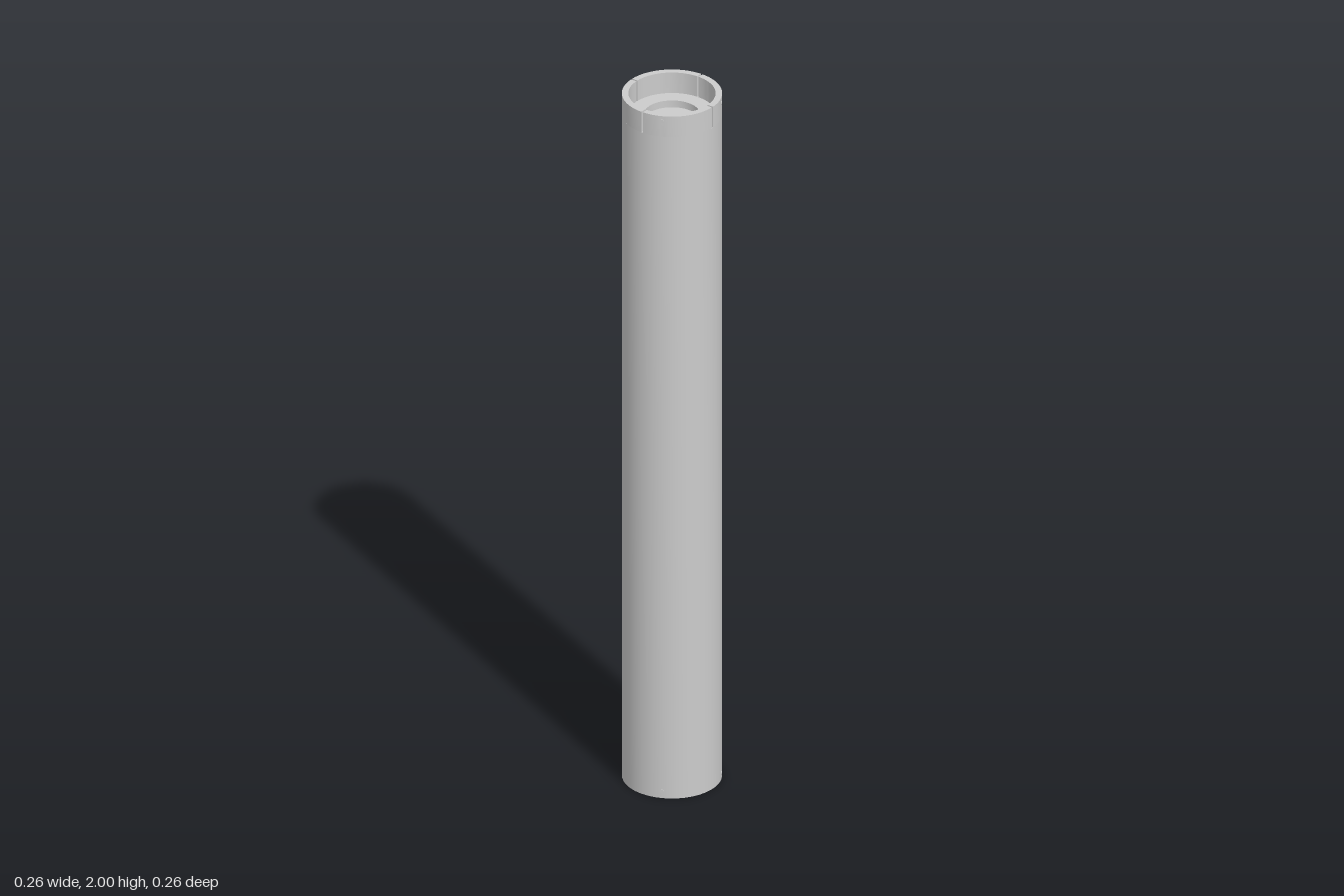
import * as THREE from 'three';
import { toCreasedNormals } from 'three/addons/utils/BufferGeometryUtils.js';

const OUTER = 0.13, INNER = 0.113, RIM_Y = 1.94, HEIGHT = 2;

export function createModel() {
  const model = new THREE.Group();
  const grey = new THREE.MeshStandardMaterial({ color: 0xcccccc });
  const add = (name, geometry) => {
    const mesh = new THREE.Mesh(toCreasedNormals(geometry, 0.5), grey);
    mesh.name = name;
    model.add(mesh);
    return mesh;
  };

  // Long barrel with a recessed end at the bottom and a stepped seat at the top
  const profile = [
    [0, 0.05], [0.028, 0.05], [0.028, 0.03], [INNER, 0.03], [INNER, 0],
    [OUTER, 0], [OUTER, RIM_Y], [0.072, RIM_Y], [0.072, 1.92], [0, 1.92],
  ].map(([r, y]) => new THREE.Vector2(r, y));
  add('barrel', new THREE.LatheGeometry(profile, 40));

  // Raised rim in four sectors, parted by narrow slots
  const slot = 0.02;
  for (let i = 0; i < 4; i++) {
    const start = -THREE.MathUtils.degToRad(25) + i * Math.PI / 2 + slot;
    const end = start + Math.PI / 2 - 2 * slot;
    const sector = new THREE.Shape();
    sector.absarc(0, 0, OUTER, start, end, false);
    sector.absarc(0, 0, INNER, end, start, true);
    const geometry = new THREE.ExtrudeGeometry(sector, {
      depth: HEIGHT - RIM_Y, bevelEnabled: false, curveSegments: 10,
    });
    geometry.rotateX(-Math.PI / 2);
    add('rimSector', geometry).position.y = RIM_Y;
  }

  // Small fixing pins around both ends
  for (const y of [0.02, 1.985]) {
    for (let i = 0; i < 4; i++) {
      const geometry = new THREE.CylinderGeometry(0.005, 0.005, 0.012, 12);
      geometry.rotateX(Math.PI / 2).translate(0, y, OUTER - 0.0045);
      add('fixingPin', geometry).rotation.y = i * Math.PI / 2;
    }
  }
  return model;
}
